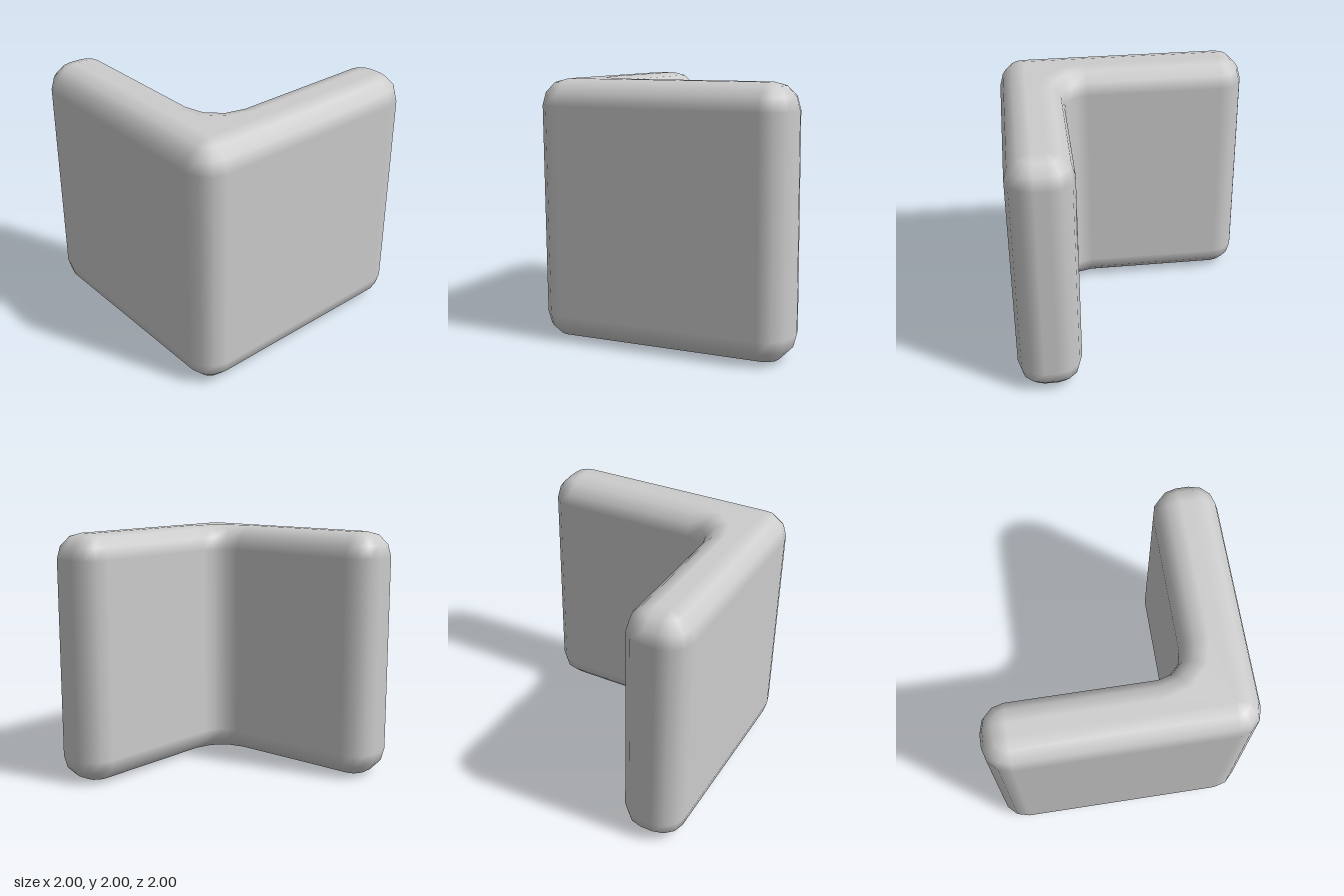
import * as THREE from 'three';

const R = 0.2;      // edge rounding radius
const SEG = 3;      // segments per quarter turn
const HEIGHT = 2;

// Corners of the L-shaped footprint: centre x, z, start angle (quarter turns), turn direction
const CORNERS = [
  [0.8, 0.8, 0, 1],     // outer corner
  [-0.8, 0.8, 1, 1],    // end of front wing
  [-0.8, 0.7, 2, 1],
  [0.3, 0.3, 1, -1],    // concave inner fillet
  [0.7, -0.8, 2, 1],    // end of side wing
  [0.8, -0.8, 3, 1],
];

// Footprint outline grown by r from the core, with its outward directions
function outline(r) {
  const points = [];
  for (const [cx, cz, start, turn] of CORNERS) {
    for (let i = 0; i <= SEG; i++) {
      const a = (start + turn * i / SEG) * Math.PI / 2;
      const dx = Math.cos(a), dz = Math.sin(a);
      const radius = turn > 0 ? r : 2 * R - r;
      points.push({ x: cx + radius * dx, z: cz + radius * dz, nx: turn * dx, nz: turn * dz });
    }
  }
  return points;
}

function roundedCornerWall() {
  const pos = [], nor = [], index = [];

  // Stack of outlines: rounded bottom edge, straight wall, rounded top edge
  const rings = 2 * (SEG + 1);
  for (let k = 0; k < rings; k++) {
    const top = k > SEG;
    const a = (top ? k - SEG - 1 : k - SEG) / SEG * Math.PI / 2;
    const c = Math.max(0, Math.cos(a)), s = Math.sin(a);
    const y = (top ? HEIGHT - R : R) + R * s;
    for (const p of outline(R * c)) {
      pos.push(new THREE.Vector3(p.x, y, p.z));
      nor.push(new THREE.Vector3(p.nx * c, s, p.nz * c));
    }
  }

  // Add a triangle facing along its normals, skipping collapsed ones
  const tri = (a, b, c) => {
    const face = pos[b].clone().sub(pos[a]).cross(pos[c].clone().sub(pos[a]));
    if (face.length() < 1e-9) return;
    const n = nor[a].clone().add(nor[b]).add(nor[c]);
    if (face.dot(n) > 0) index.push(a, b, c);
    else index.push(a, c, b);
  };

  const count = CORNERS.length * (SEG + 1);
  for (let k = 0; k < rings - 1; k++) {
    for (let i = 0; i < count; i++) {
      const a = k * count + i, b = k * count + (i + 1) % count;
      tri(a, b, a + count);
      tri(b, b + count, a + count);
    }
  }

  // Flat bottom and top faces
  const core = outline(0).map(p => new THREE.Vector2(p.x, p.z));
  for (const [a, b, c] of THREE.ShapeUtils.triangulateShape(core, [])) {
    for (const base of [0, (rings - 1) * count]) tri(base + a, base + b, base + c);
  }

  const geometry = new THREE.BufferGeometry();
  geometry.setAttribute('position', new THREE.Float32BufferAttribute(pos.flatMap(v => v.toArray()), 3));
  geometry.setAttribute('normal', new THREE.Float32BufferAttribute(nor.flatMap(v => v.toArray()), 3));
  geometry.setIndex(index);
  return geometry;
}

export function createModel() {
  const group = new THREE.Group();
  group.name = 'roundedCornerBlock';
  const wall = new THREE.Mesh(roundedCornerWall(), new THREE.MeshStandardMaterial({ color: 0xcccccc }));
  wall.name = 'cornerWall';
  group.add(wall);
  return group;
}
